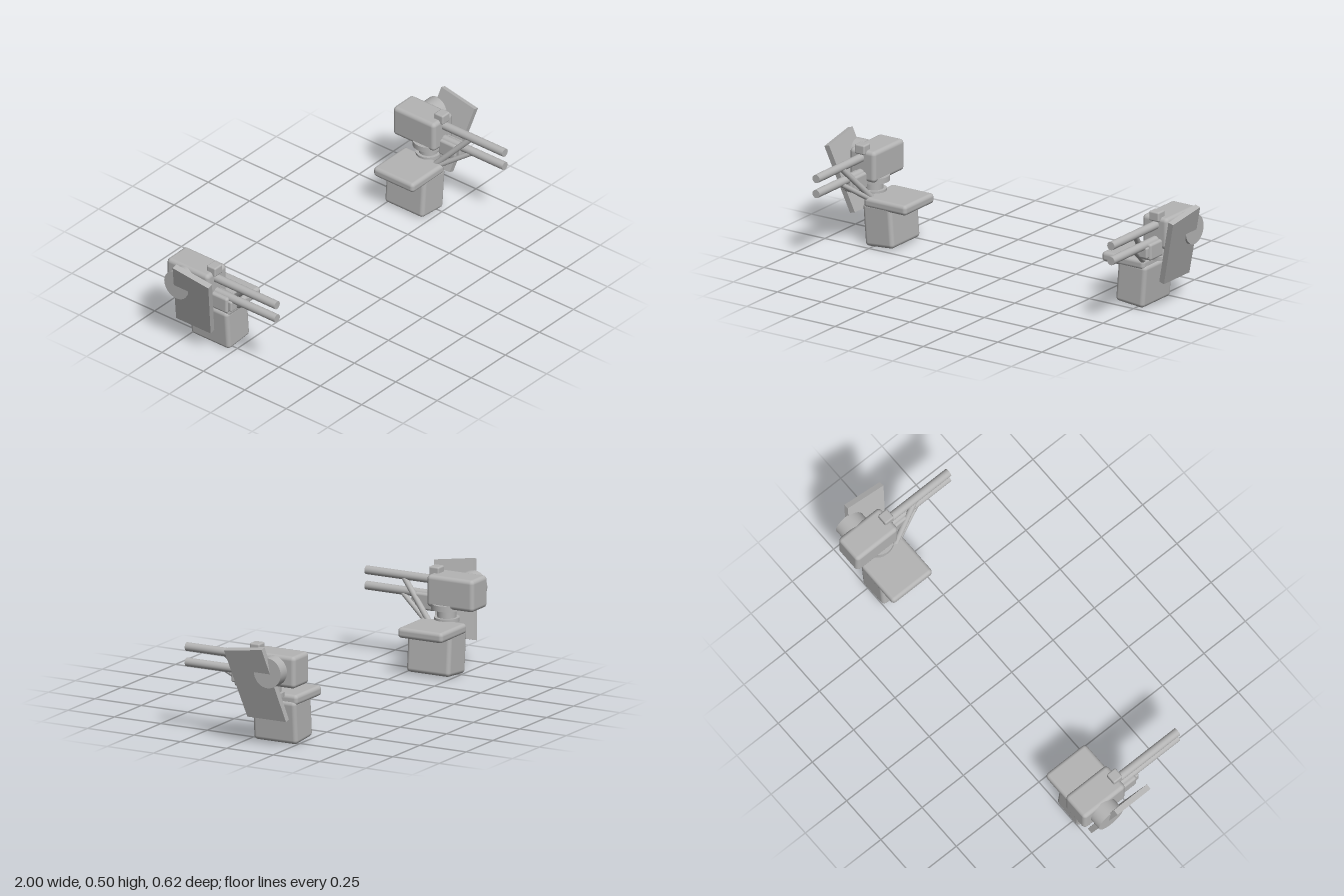
import * as THREE from 'three';
import { RoundedBoxGeometry } from 'three/addons/geometries/RoundedBoxGeometry.js';

const grey = new THREE.MeshStandardMaterial({ color: 0xb4b4b4 });
grey.name = 'grey';

// One gun mount; s = 1 is the model's left, s = -1 its mirror image.
function createMount(s) {
  const mount = new THREE.Group();
  mount.name = s > 0 ? 'leftMount' : 'rightMount';

  const add = (name, geometry, x = 0, y = 0, z = 0) => {
    const mesh = new THREE.Mesh(geometry, grey);
    mesh.name = name;
    mesh.position.set(s * x, y, z);
    mount.add(mesh);
    return mesh;
  };
  // Rounded box given by its limits on each axis
  const box = (name, [x0, x1], [y0, y1], [z0, z1], r) =>
    add(name, new RoundedBoxGeometry(x1 - x0, y1 - y0, z1 - z0, 3, r),
      (x0 + x1) / 2, (y0 + y1) / 2, (z0 + z1) / 2);
  // Cylinder between two points
  const rod = (name, a, b, r, sides = 24) => {
    const p = new THREE.Vector3(s * a[0], a[1], a[2]);
    const q = new THREE.Vector3(s * b[0], b[1], b[2]);
    const d = q.clone().sub(p);
    const mesh = add(name, new THREE.CylinderGeometry(r, r, d.length(), sides));
    mesh.position.copy(p).add(q).multiplyScalar(0.5);
    mesh.quaternion.setFromUnitVectors(new THREE.Vector3(0, 1, 0), d.normalize());
  };

  // Leaning pedestal and level platform
  const pedestal = box('pedestal', [0.637, 0.797], [0.01, 0.22], [-0.253, -0.019], 0.02);
  pedestal.rotation.z = -s * 0.08;
  box('platform', [0.555, 0.795], [0.195, 0.245], [-0.258, -0.016], 0.018);

  // Turntable
  rod('lowerRing', [0.815, 0.235, -0.135], [0.815, 0.256, -0.135], 0.06, 32);
  rod('neck', [0.815, 0.25, -0.135], [0.815, 0.3, -0.135], 0.045, 32);
  rod('upperRing', [0.815, 0.295, -0.135], [0.815, 0.322, -0.135], 0.075, 32);

  // Gun housing, sight and barrel collar
  box('housing', [0.758, 0.902], [0.305, 0.459], [-0.307, -0.055], 0.02);
  box('sight', [0.807, 0.863], [0.44, 0.488], [-0.095, -0.042], 0.008);
  box('collar', [0.803, 0.873], [0.273, 0.355], [-0.07, 0.036], 0.012);
  box('collarFront', [0.812, 0.864], [0.287, 0.341], [0.02, 0.056], 0.008);

  // Barrels and the struts that brace them
  for (const y of [0.42, 0.346]) rod('barrel', [0.836, y, -0.08], [0.836, y, 0.31], 0.0205);
  rod('upperStrut', [0.834, 0.418, 0.11], [0.775, 0.235, -0.06], 0.014, 16);
  rod('lowerStrut', [0.834, 0.345, 0.122], [0.775, 0.228, -0.05], 0.012, 16);

  // Side trunnion
  rod('trunnion', [0.88, 0.383, -0.196], [0.962, 0.383, -0.196], 0.072, 40);

  // Shield: outline in [z, height along the plate], leaning outward
  const lean = 0.292, t = 0.028;
  const sin = Math.sin(lean), cos = Math.cos(lean);
  const outline = [[-0.047, 0], [-0.255, 0], [-0.187, 0.378], [0.021, 0.345]]
    .map(([z, v]) => new THREE.Vector2(-s * z, v));
  const plate = new THREE.ExtrudeGeometry(new THREE.Shape(outline), { depth: t, bevelEnabled: false });
  plate.translate(0, 0, -t);
  plate.applyMatrix4(new THREE.Matrix4().makeBasis(
    new THREE.Vector3(0, 0, -s),
    new THREE.Vector3(s * sin, cos, 0),
    new THREE.Vector3(s * cos, -sin, 0)));
  add('shield', plate, 0.89, 0.14, 0);

  return mount;
}

export function createModel() {
  const model = new THREE.Group();
  model.name = 'twinGunMounts';
  for (const s of [1, -1]) model.add(createMount(s));
  return model;
}
